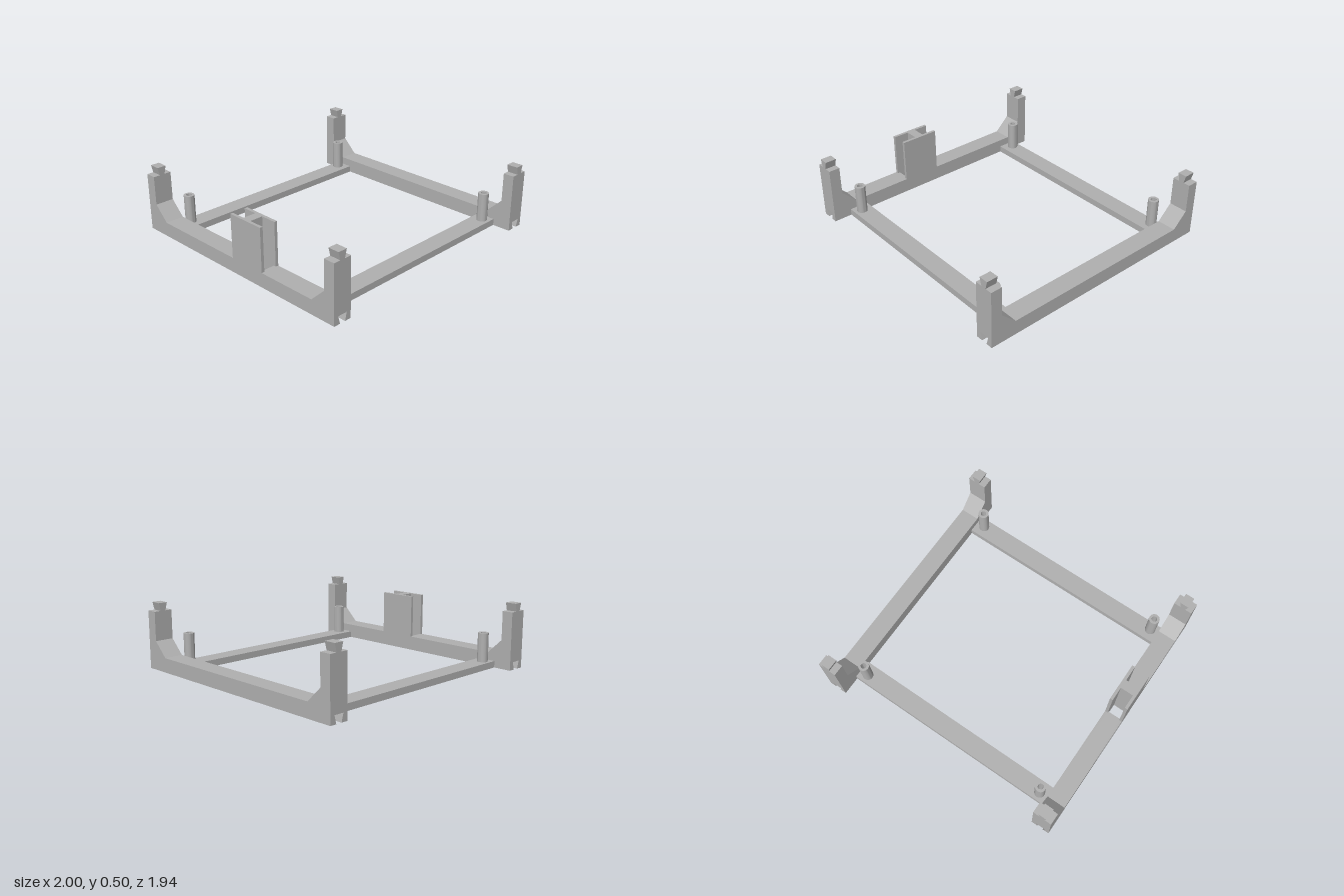
import * as THREE from 'three';
import { toCreasedNormals } from 'three/addons/utils/BufferGeometryUtils.js';

const END = 0.97;      // half length of the rails
const RAIL_X = 0.9275; // rail centre
const HALF = 0.0725;   // half width of a rail
const BEND = 0.77;     // where the rail starts rising into the post
const SLOT_IN = 0.82;  // inner end of the dovetail slot

const grey = new THREE.MeshStandardMaterial({ color: 0xb0b0b0 });
grey.name = 'grey plastic';

function add(parent, name, geometry) {
  const mesh = new THREE.Mesh(geometry, grey);
  mesh.name = name;
  parent.add(mesh);
  return mesh;
}

function polygon(points) {
  return new THREE.Shape(points.map(([a, b]) => new THREE.Vector2(a, b)));
}

function extrude(shape, depth) {
  return new THREE.ExtrudeGeometry(shape, { depth, bevelEnabled: false });
}

function box(x0, x1, y0, y1, z0, z1) {
  return new THREE.BoxGeometry(x1 - x0, y1 - y0, z1 - z0)
    .translate((x0 + x1) / 2, (y0 + y1) / 2, (z0 + z1) / 2);
}

const rectangle = (x0, x1, z0, z1) => [[x0, z0], [x1, z0], [x1, z1], [x0, z1]];

// Corner post: chamfered upright, dovetail tenon on top, dovetail slot below
function cornerPost() {
  const post = new THREE.Group();
  post.name = 'cornerPost';
  const side = polygon([[BEND, 0.06], [END, 0.06], [END, 0.44], [0.885, 0.44], [0.885, 0.22], [BEND, 0.11]]);
  add(post, 'upright', extrude(side, 2 * HALF).translate(0, 0, -HALF).rotateY(-Math.PI / 2));
  add(post, 'slotEnd', box(-HALF, HALF, 0, 0.06, BEND, SLOT_IN));
  const prongs = [
    [[-HALF, 0], [-0.022, 0], [-0.038, 0.06], [-HALF, 0.06]],
    [[0.022, 0], [HALF, 0], [HALF, 0.06], [0.038, 0.06]],
  ];
  for (const prong of prongs) {
    add(post, 'slotProng', extrude(polygon(prong), END - SLOT_IN).translate(0, 0, SLOT_IN));
  }
  const tenon = polygon([[-0.02, 0.44], [0.02, 0.44], [0.035, 0.5], [-0.035, 0.5]]);
  add(post, 'tenon', extrude(tenon, END - 0.885).translate(0, 0, 0.885));
  return post;
}

// Side rail with a post at each end and optional through holes
function sideRail(name, x, holes) {
  const rail = new THREE.Group();
  rail.name = name;
  rail.position.x = x;
  const plan = polygon(rectangle(-HALF, HALF, -BEND, BEND));
  for (const [z0, z1] of holes) {
    plan.holes.push(polygon(rectangle(-0.05, 0.05, z0, z1)));
  }
  add(rail, 'railBar', extrude(plan, 0.11).rotateX(Math.PI / 2).translate(0, 0.11, 0));
  const front = cornerPost();
  const back = cornerPost();
  back.rotation.y = Math.PI;
  rail.add(front, back);
  return rail;
}

// Hollow peg with a blind bore
function pegGeometry() {
  const profile = [[0.04, 0.05], [0.04, 0.27], [0.021, 0.27], [0.021, 0.06], [0, 0.06]]
    .map(([r, y]) => new THREE.Vector2(r, y));
  return toCreasedNormals(new THREE.LatheGeometry(profile, 32), Math.PI / 5);
}

export function createModel() {
  const model = new THREE.Group();
  model.name = 'stackingFrame';

  const right = sideRail('rightRail', -RAIL_X, [[0.01, 0.11], [0.18, 0.28]]);
  model.add(right, sideRail('leftRail', RAIL_X, []));

  // H-shaped holder standing on the right rail
  const h = polygon([
    [-HALF, 0], [-0.05, 0], [-0.05, 0.11], [0.05, 0.11], [0.05, 0], [HALF, 0],
    [HALF, 0.3], [0.05, 0.3], [0.05, 0.18], [-0.05, 0.18], [-0.05, 0.3], [-HALF, 0.3],
  ]);
  add(right, 'holder', extrude(h, 0.33).rotateX(Math.PI / 2).translate(0, 0.44, 0));

  // Cross beams and their pegs
  for (const s of [1, -1]) {
    const beam = add(model, s > 0 ? 'frontBeam' : 'backBeam', box(-0.855, 0.855, 0, 0.05, -0.0725, 0.0725));
    beam.position.z = s * 0.757;
    for (const x of [-0.787, 0.787]) {
      add(model, 'peg', pegGeometry()).position.set(x, 0, s * 0.768);
    }
  }
  return model;
}
